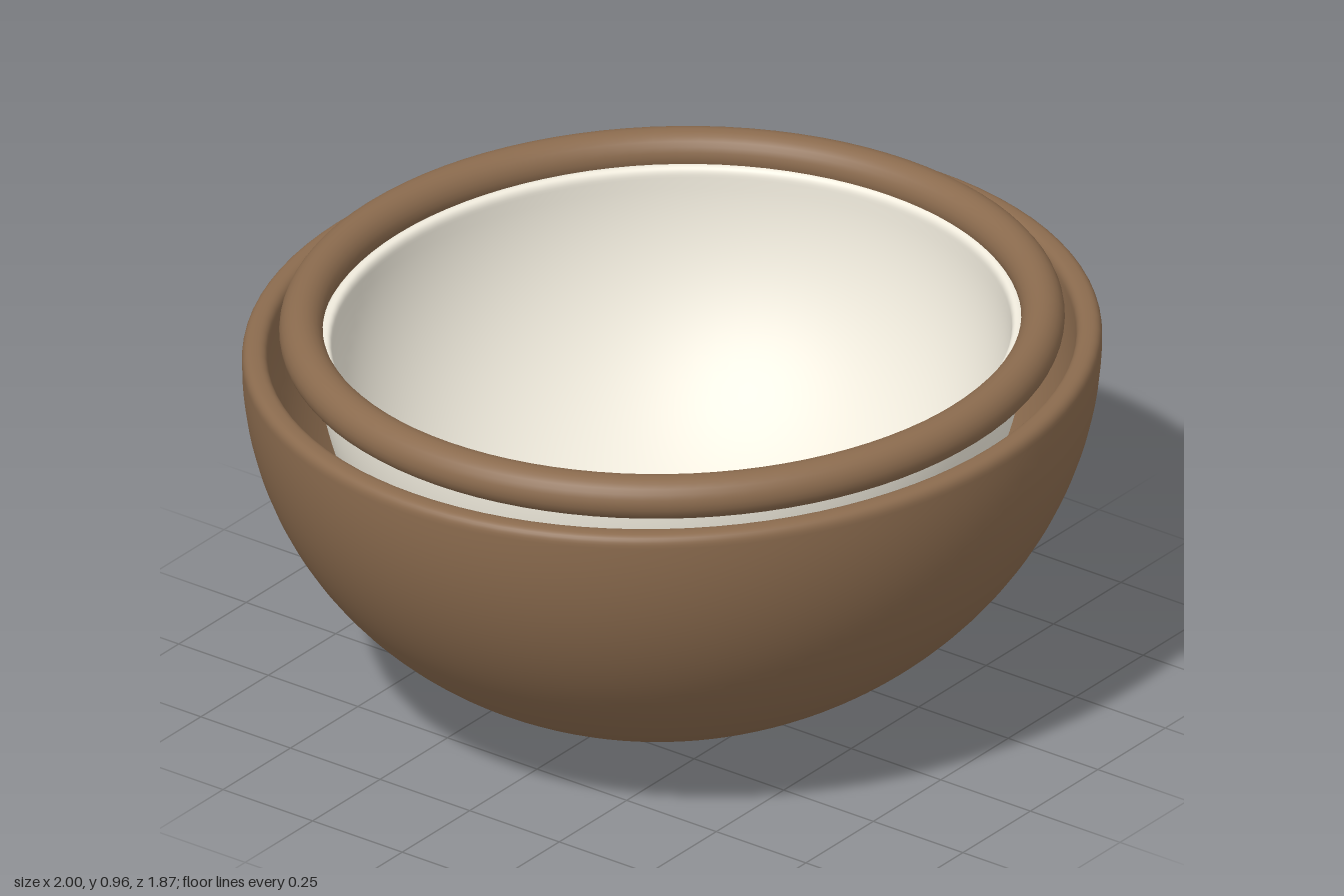
import * as THREE from 'three';

const DEPTH = 0.935; // the bowl is slightly narrower front to back

// Closed bowl wall: outer quarter ellipse, rounded lip, inner quarter ellipse.
function bowlProfile(outer, inner, outerDrop, innerDrop, springY, lipY) {
  const pts = [];
  const steps = 40;
  for (let i = 0; i <= steps; i++) {
    const a = (i / steps) * Math.PI / 2;
    pts.push(new THREE.Vector2(outer * Math.sin(a), springY - outerDrop * Math.cos(a)));
  }
  const mid = (outer + inner) / 2, half = (outer - inner) / 2;
  for (let i = 1; i < 16; i++) {
    const a = (i / 16) * Math.PI;
    pts.push(new THREE.Vector2(mid + half * Math.sign(Math.cos(a)) * Math.abs(Math.cos(a)) ** 0.8,
      springY + (lipY - springY) * Math.sin(a) ** 0.8));
  }
  for (let i = steps; i >= 0; i--) {
    const a = (i / steps) * Math.PI / 2;
    pts.push(new THREE.Vector2(inner * Math.sin(a), springY - innerDrop * Math.cos(a)));
  }
  return pts;
}

export function createModel() {
  const group = new THREE.Group();
  group.name = 'bowl';
  const brown = new THREE.MeshStandardMaterial({ color: 0x8b6b4e });
  const cream = new THREE.MeshStandardMaterial({ color: 0xf0ebdd });

  function add(name, geometry, material, depth) {
    const mesh = new THREE.Mesh(geometry, material);
    mesh.name = name;
    mesh.scale.z = depth;
    group.add(mesh);
    return mesh;
  }

  // Outer shell with a rounded rim
  add('outerShell', new THREE.LatheGeometry(
    bowlProfile(1, 0.94, 0.855, 0.8, 0.855, 0.885), 96), brown, DEPTH);

  // Pale inner lining, separated from the shell by a narrow groove
  add('innerLining', new THREE.LatheGeometry(
    bowlProfile(0.825, 0.79, 0.73, 0.7, 0.875, 0.9), 96), cream, DEPTH);

  // Round ring capping the lining
  const ringGeometry = new THREE.TorusGeometry(0.85, 0.05, 24, 96);
  ringGeometry.rotateX(Math.PI / 2);
  add('rimRing', ringGeometry, brown, 0.958).position.y = 0.915;

  return group;
}
